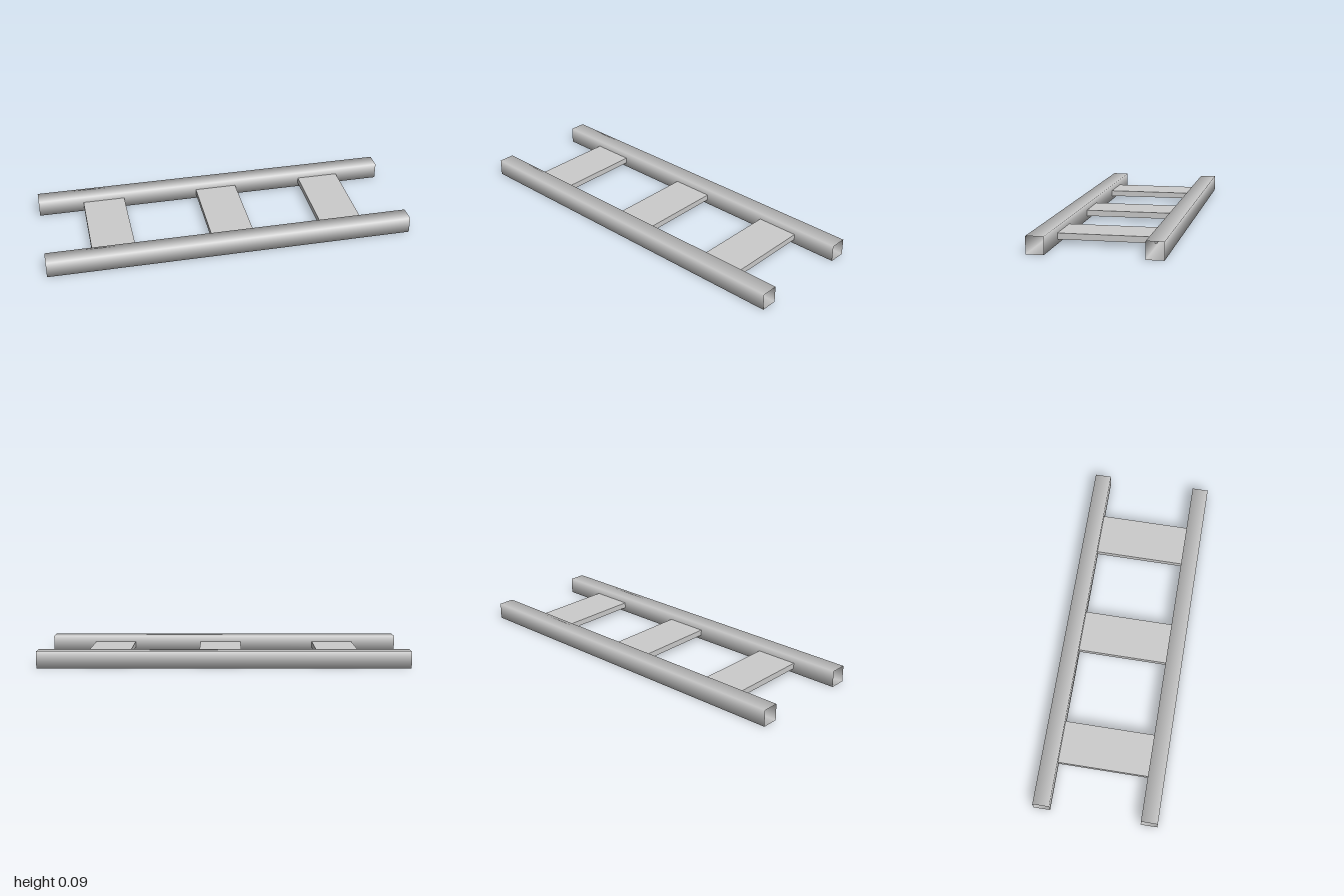
import * as THREE from 'three';

export function createModel() {
  const group = new THREE.Group();
  const grey = new THREE.MeshStandardMaterial({ color: 0xcccccc, side: THREE.DoubleSide });
  grey.name = 'light grey';

  // Rails: open-ended square tubes with smooth corner normals
  const railSize = 0.09;
  const radius = railSize / Math.SQRT2;
  const railGeometry = new THREE.CylinderGeometry(radius, radius, 2, 4, 1, true, Math.PI / 4);
  railGeometry.rotateZ(Math.PI / 2);
  for (const [name, side] of [['frontRail', 1], ['backRail', -1]]) {
    const rail = new THREE.Mesh(railGeometry, grey);
    rail.name = name;
    rail.position.set(0, railSize / 2, side * 0.291);
    group.add(rail);
  }

  // Slats: flat boards whose ends sink into the rails
  const slatGeometry = new THREE.BoxGeometry(0.233, 0.032, 0.529);
  [-0.632, 0.021, 0.636].forEach((x, i) => {
    const slat = new THREE.Mesh(slatGeometry, grey);
    slat.name = `slat${i + 1}`;
    slat.position.set(x, 0.04, 0.007);
    group.add(slat);
  });

  return group;
}
